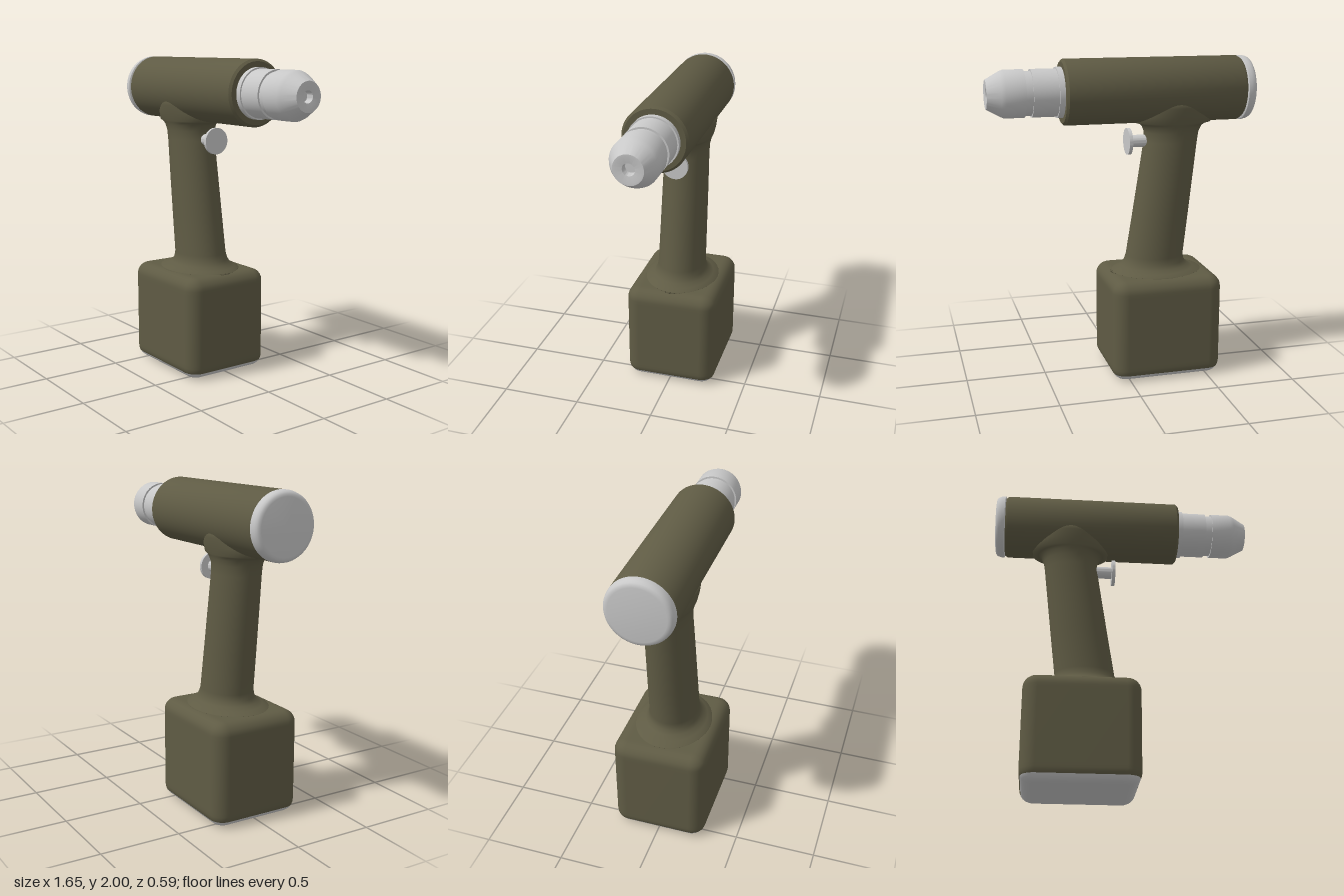
import * as THREE from 'three';
import { toCreasedNormals } from 'three/addons/utils/BufferGeometryUtils.js';

const olive = new THREE.MeshStandardMaterial({ color: 0x5f5b44 });
olive.name = 'olive casing';
const grey = new THREE.MeshStandardMaterial({ color: 0xc8c8c8 });
grey.name = 'light grey';

// Turned part along the x axis; profile points are [x, radius] from back to front
function turned(name, profile, material, y) {
  const pts = profile.map(([x, r]) => new THREE.Vector2(r, x));
  const geo = new THREE.LatheGeometry(pts, 64);
  geo.rotateZ(-Math.PI / 2);
  const mesh = new THREE.Mesh(toCreasedNormals(geo, 0.6), material);
  mesh.name = name;
  mesh.position.y = y;
  return mesh;
}

// Skin over horizontal rings from bottom to top, closed at both ends.
// The bottom cap and the first `split` bands take the second material.
function loft(rings, split = 0) {
  const n = rings[0].length;
  const pos = rings.flat().flatMap((p) => [p.x, p.y, p.z]);
  const lower = [];
  const upper = [];
  const cap = (ring, base, list, flip) => {
    const c = pos.length / 3;
    const mid = ring.reduce((s, p) => s.add(p), new THREE.Vector3()).divideScalar(n);
    pos.push(mid.x, mid.y, mid.z);
    for (let i = 0; i < n; i++) {
      const j = (i + 1) % n;
      list.push(c, base + (flip ? j : i), base + (flip ? i : j));
    }
  };
  for (let k = 0; k < rings.length - 1; k++) {
    const list = k < split ? lower : upper;
    for (let i = 0; i < n; i++) {
      const a = k * n + i;
      const b = k * n + ((i + 1) % n);
      list.push(a, b, b + n, a, b + n, a + n);
    }
  }
  cap(rings[0], 0, lower, true);
  cap(rings[rings.length - 1], (rings.length - 1) * n, upper, false);
  const geo = new THREE.BufferGeometry();
  geo.setAttribute('position', new THREE.Float32BufferAttribute(pos, 3));
  geo.setIndex([...lower, ...upper]);
  geo.addGroup(0, lower.length, 1);
  geo.addGroup(lower.length, upper.length, 0);
  geo.computeVertexNormals();
  return geo;
}

// Oval ring between two x limits
function oval(y, x0, x1, halfZ) {
  return Array.from({ length: 48 }, (_, i) => {
    const a = (i / 48) * Math.PI * 2;
    return new THREE.Vector3(
      (x0 + x1) / 2 + ((x1 - x0) / 2) * Math.cos(a), y, -halfZ * Math.sin(a));
  });
}

// Rounded rectangle ring of the battery, shrunk by an inset
function roundedRect(y, inset) {
  const r = Math.max(0.09 - inset, 0.012);
  const hx = 0.3525 - inset - r;
  const hz = 0.295 - inset - r;
  const ring = [];
  [[1, 1], [-1, 1], [-1, -1], [1, -1]].forEach(([sx, sz], q) => {
    for (let i = 0; i <= 8; i++) {
      const a = (q + i / 8) * Math.PI / 2;
      ring.push(new THREE.Vector3(
        -0.2475 + sx * hx + r * Math.cos(a), y, -(sz * hz + r * Math.sin(a))));
    }
  });
  return ring;
}

export function createModel() {
  const group = new THREE.Group();
  group.name = 'cordlessDrill';

  // Motor housing with bevelled ends
  group.add(turned('motorHousing', [
    [-0.765, 0], [-0.765, 0.187], [-0.745, 0.2], [0.352, 0.2], [0.366, 0.186], [0.366, 0],
  ], olive, 1.8));

  // Rounded rear cap
  group.add(turned('rearCap', [
    [-0.825, 0], [-0.825, 0.165], [-0.823, 0.178], [-0.816, 0.189], [-0.803, 0.196],
    [-0.785, 0.2], [-0.768, 0.2], [-0.762, 0.187], [-0.762, 0],
  ], grey, 1.8));

  // Chuck with collar, sleeve, groove, tapered nose and bit hole
  group.add(turned('chuck', [
    [0.36, 0.153], [0.4, 0.153], [0.4, 0.144], [0.553, 0.144], [0.553, 0.133],
    [0.595, 0.133], [0.595, 0.144], [0.715, 0.144], [0.74, 0.134], [0.822, 0.088],
    [0.822, 0.075], [0.815, 0.036], [0.77, 0.033], [0.77, 0],
  ], grey, 1.8));

  // Slanted grip flaring into the housing and the battery
  const grip = new THREE.Mesh(loft([
    oval(0.63, -0.555, 0.075, 0.25), oval(0.652, -0.525, 0.05, 0.235),
    oval(0.665, -0.475, 0.02, 0.205), oval(0.685, -0.44, -0.008, 0.178),
    oval(0.71, -0.42, -0.027, 0.162), oval(0.75, -0.413, -0.042, 0.154),
    oval(1.0, -0.442, -0.082, 0.15), oval(1.25, -0.47, -0.121, 0.146),
    oval(1.48, -0.496, -0.156, 0.141), oval(1.54, -0.505, -0.157, 0.144),
    oval(1.575, -0.522, -0.143, 0.153), oval(1.592, -0.542, -0.123, 0.159),
    oval(1.602, -0.585, -0.085, 0.164), oval(1.65, -0.585, -0.085, 0.176),
    oval(1.7, -0.57, -0.1, 0.184), oval(1.75, -0.55, -0.12, 0.186),
  ]), [olive, olive]);
  grip.name = 'grip';
  group.add(grip);

  // Battery block; its lower edge is the grey base
  const R = 0.075;
  const rings = [];
  const angles = [0, 0.27, 0.54, 0.8, 1.085, 1.33, Math.PI / 2];
  rings.push(roundedRect(0, R + 0.02));
  angles.forEach((a) => rings.push(roundedRect(R - R * Math.cos(a), R - R * Math.sin(a))));
  rings.push(roundedRect(0.1, 0), roundedRect(0.55, 0));
  [...angles].reverse().forEach((a) =>
    rings.push(roundedRect(0.65 - R + R * Math.cos(a), R - R * Math.sin(a))));
  rings.push(roundedRect(0.65, R + 0.02));
  const battery = new THREE.Mesh(loft(rings, 5), [olive, grey]);
  battery.name = 'battery';
  group.add(battery);

  // Trigger: stem and round button
  group.add(turned('triggerStem',
    [[-0.22, 0], [-0.22, 0.038], [-0.055, 0.038], [-0.055, 0]], grey, 1.485));
  group.add(turned('triggerButton',
    [[-0.063, 0], [-0.063, 0.083], [-0.042, 0.083], [-0.042, 0]], grey, 1.485));

  return group;
}
